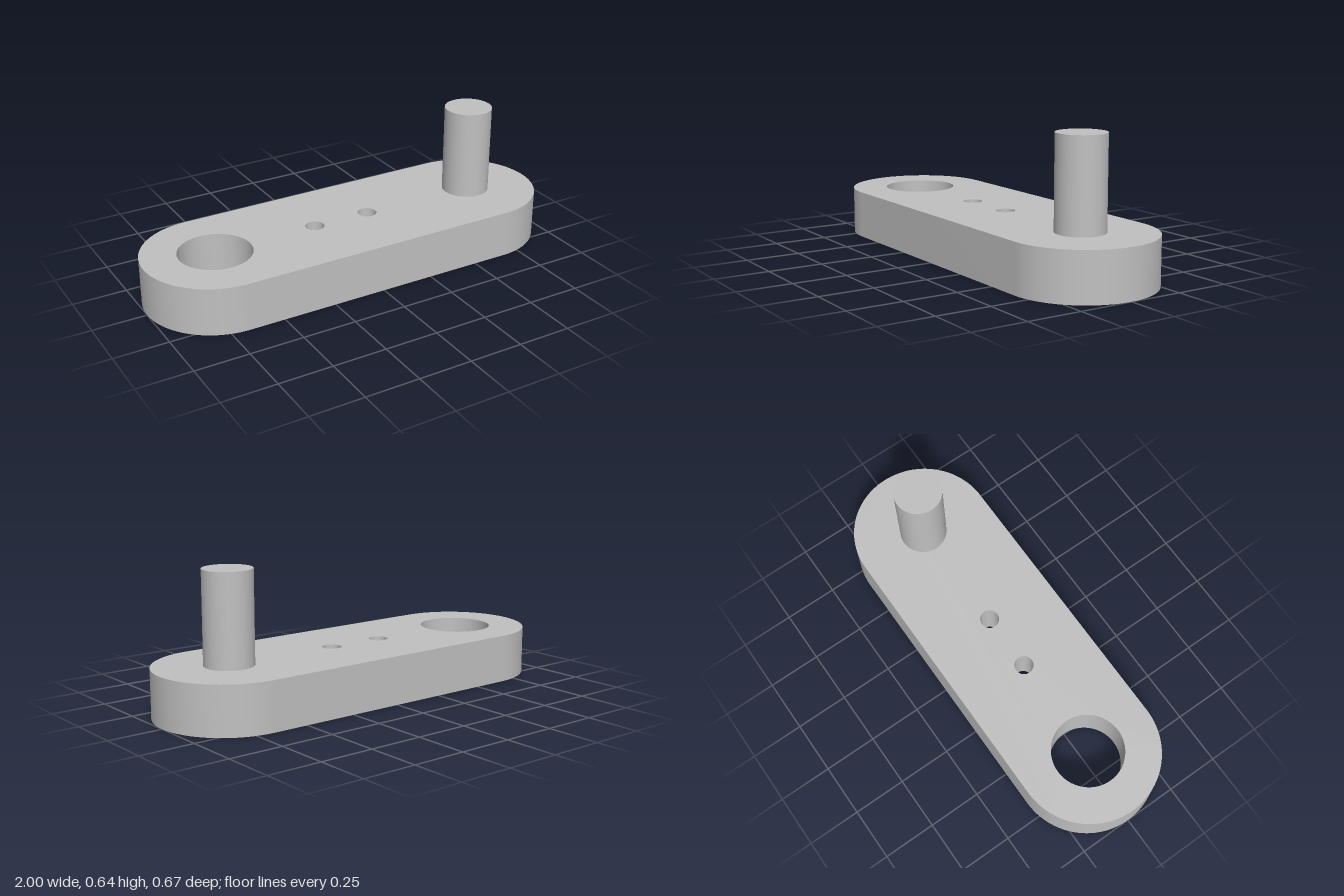
import * as THREE from 'three';
import { toCreasedNormals } from 'three/addons/utils/BufferGeometryUtils.js';

const PLATE_HEIGHT = 0.222;
const END_RADIUS = 0.333;
const END_X = 0.667;

// Holes as [x, radius]: the large bore and two small ones
const HOLES = [[-0.667, 0.168], [-0.17, 0.044], [0.108, 0.044]];

function createPlate(material) {
  // Stadium outline with round through holes
  const outline = new THREE.Shape();
  outline.absarc(END_X, 0, END_RADIUS, -Math.PI / 2, Math.PI / 2, false);
  outline.absarc(-END_X, 0, END_RADIUS, Math.PI / 2, Math.PI * 1.5, false);
  outline.closePath();
  for (const [x, radius] of HOLES) {
    const hole = new THREE.Path();
    hole.absarc(x, 0, radius, 0, Math.PI * 2, true);
    outline.holes.push(hole);
  }
  const extruded = new THREE.ExtrudeGeometry(outline, {
    depth: PLATE_HEIGHT, bevelEnabled: false, curveSegments: 48,
  });
  extruded.rotateX(-Math.PI / 2);
  const plate = new THREE.Mesh(toCreasedNormals(extruded, Math.PI / 6), material);
  plate.name = 'armPlate';
  return plate;
}

function createPin(material) {
  // Upright pin standing on the plate
  const height = 0.418;
  const pin = new THREE.Mesh(new THREE.CylinderGeometry(0.111, 0.111, height, 64), material);
  pin.position.set(0.664, PLATE_HEIGHT + height / 2, 0);
  pin.name = 'pin';
  return pin;
}

export function createModel() {
  const metal = new THREE.MeshStandardMaterial({ color: 0xc0c0c0 });
  metal.name = 'light grey metal';
  const model = new THREE.Group();
  model.name = 'crankArm';
  model.add(createPlate(metal), createPin(metal));
  return model;
}
